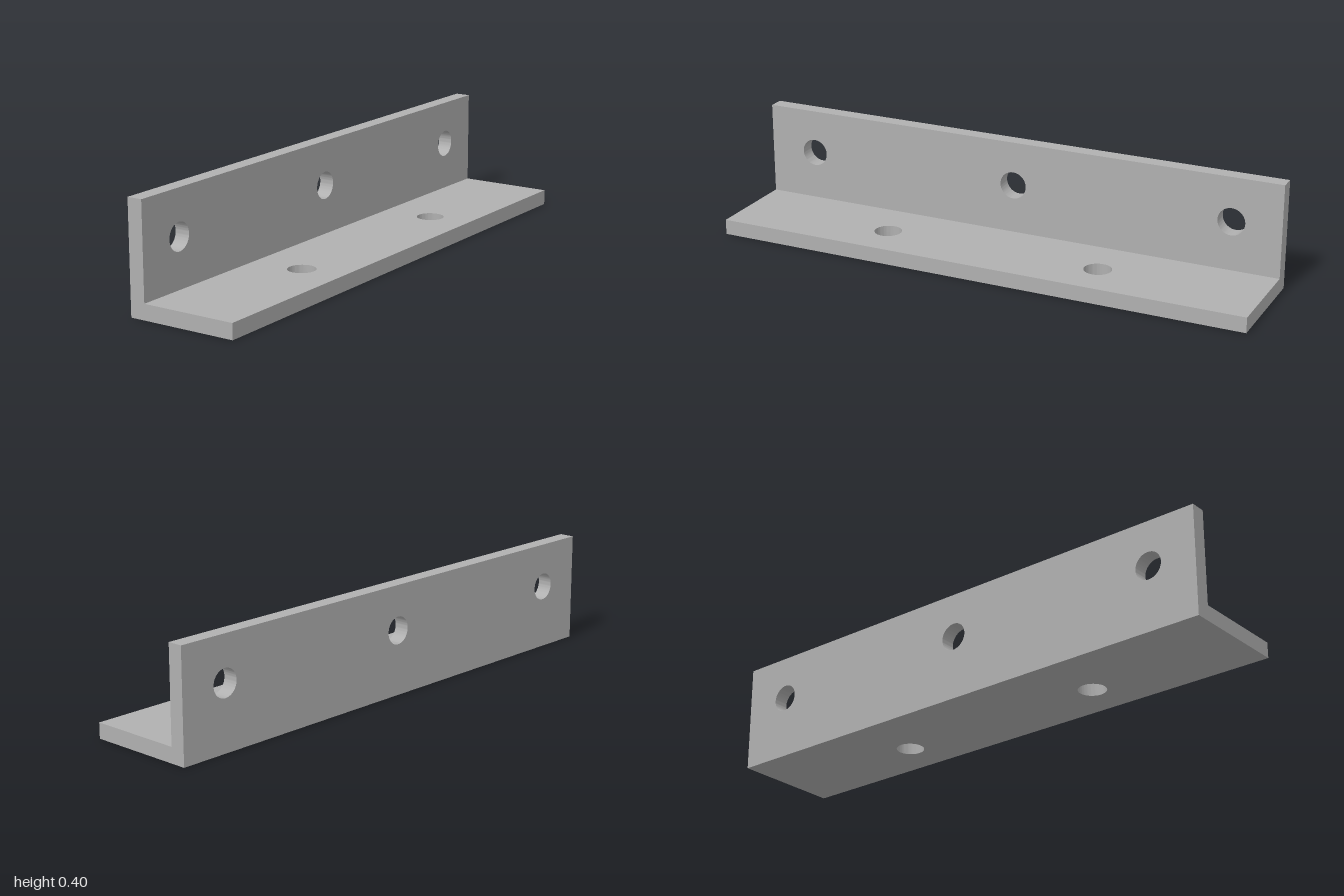
import * as THREE from 'three';
import { toCreasedNormals } from 'three/addons/utils/BufferGeometryUtils.js';

const LENGTH = 2.012, DEPTH = 0.407, HEIGHT = 0.398, THICK = 0.056;
const HOLE_RADIUS = 0.05, PITCH = 0.824;

// Rectangular plate from y0 to y1, drilled with round holes, extruded by THICK
function drilledPlate(y0, y1, holeXs, holeY) {
  const h = LENGTH / 2;
  const shape = new THREE.Shape([
    new THREE.Vector2(-h, y0), new THREE.Vector2(h, y0),
    new THREE.Vector2(h, y1), new THREE.Vector2(-h, y1),
  ]);
  for (const x of holeXs) {
    shape.holes.push(new THREE.Path().absarc(x, holeY, HOLE_RADIUS, 0, Math.PI * 2, true));
  }
  const geometry = new THREE.ExtrudeGeometry(shape, { depth: THICK, bevelEnabled: false, curveSegments: 32 });
  return toCreasedNormals(geometry, Math.PI / 6);
}

export function createModel() {
  const steel = new THREE.MeshStandardMaterial({ color: 0xb0b0b0 });
  steel.name = 'steel grey';

  const bracket = new THREE.Group();
  bracket.name = 'angleBracket';

  // Upright flange with three holes, along the back edge
  const upright = new THREE.Mesh(drilledPlate(0, HEIGHT, [-PITCH, 0, PITCH], 0.235), steel);
  upright.name = 'uprightFlange';
  upright.position.z = -DEPTH / 2;
  bracket.add(upright);

  // Flat flange with two holes, laid down in front of the upright
  const flat = new THREE.Mesh(
    drilledPlate(-DEPTH / 2, DEPTH / 2 - THICK, [-PITCH / 2, PITCH / 2], -0.042).rotateX(-Math.PI / 2),
    steel,
  );
  flat.name = 'flatFlange';
  bracket.add(flat);

  // The bracket sits at an angle to the axes
  bracket.rotation.y = THREE.MathUtils.degToRad(24.5);

  const model = new THREE.Group();
  model.name = 'model';
  model.add(bracket);
  return model;
}
